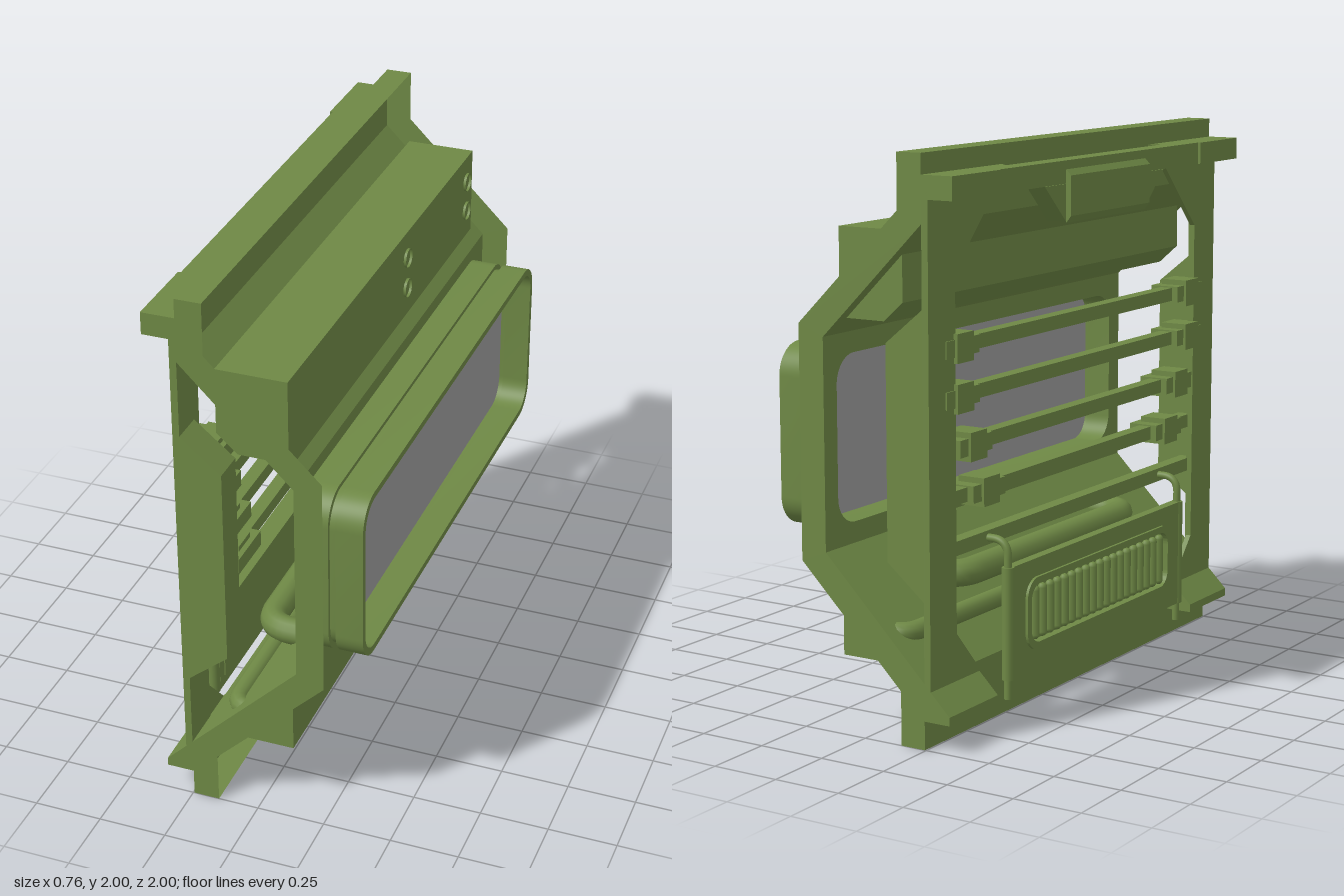
import * as THREE from 'three';
import { toCreasedNormals } from 'three/addons/utils/BufferGeometryUtils.js';

const green = new THREE.MeshStandardMaterial({ color: 0x6e8845 });
const greenSheet = new THREE.MeshStandardMaterial({ color: 0x6e8845, side: THREE.DoubleSide });
const grey = new THREE.MeshStandardMaterial({ color: 0x9c9c9c, side: THREE.DoubleSide });

export function createModel() {
  const root = new THREE.Group();
  root.name = 'wallPanel';

  const add = (name, geometry, material = green) => {
    const mesh = new THREE.Mesh(geometry, material);
    mesh.name = name;
    root.add(mesh);
  };
  const polygon = pts => new THREE.Shape(pts.map(p => new THREE.Vector2(p[0], p[1])));
  // box given by its limits
  const box = (name, x0, x1, y0, y1, z0, z1) => {
    const g = new THREE.BoxGeometry(x1 - x0, y1 - y0, Math.abs(z1 - z0));
    add(name, g.translate((x0 + x1) / 2, (y0 + y1) / 2, (z0 + z1) / 2));
  };
  // side profile (x, y) extruded along z
  const profile = (name, pts, z0, z1) => {
    const lo = Math.min(z0, z1), hi = Math.max(z0, z1);
    const g = new THREE.ExtrudeGeometry(polygon(pts), { depth: hi - lo, bevelEnabled: false });
    add(name, g.translate(0, 0, lo));
  };
  // face shape (-z, y) extruded along x
  const slab = (name, shape, x0, x1) => {
    const g = new THREE.ExtrudeGeometry(shape, { depth: x1 - x0, bevelEnabled: false, curveSegments: 8 });
    add(name, toCreasedNormals(g.rotateY(Math.PI / 2).translate(x0, 0, 0), 0.6));
  };
  // thin full-width sheet between two points of the side profile
  const sheet = (name, [x0, y0], [x1, y1]) => {
    const g = new THREE.PlaneGeometry(Math.hypot(x1 - x0, y1 - y0), 2).rotateX(Math.PI / 2);
    g.rotateZ(Math.atan2(y1 - y0, x1 - x0)).translate((x0 + x1) / 2, (y0 + y1) / 2, 0);
    add(name, g, greenSheet);
  };
  const rounded = (w, h, r, cy, Type = THREE.Shape) => {
    const s = new Type(), a = w - r, b = h - r;
    s.absarc(a, cy + b, r, 0, Math.PI / 2);
    s.absarc(-a, cy + b, r, Math.PI / 2, Math.PI);
    s.absarc(-a, cy - b, r, Math.PI, Math.PI * 1.5);
    s.absarc(a, cy - b, r, Math.PI * 1.5, Math.PI * 2);
    s.closePath();
    return s;
  };
  // pipe with rounded bends through corner points
  const pipe = (name, pts, radius, bend) => {
    const v = pts.map(p => new THREE.Vector3(...p));
    const path = new THREE.CurvePath();
    let last = v[0];
    for (let i = 1; i < v.length - 1; i++) {
      const a = v[i].clone().add(v[i - 1].clone().sub(v[i]).setLength(bend));
      const b = v[i].clone().add(v[i + 1].clone().sub(v[i]).setLength(bend));
      path.add(new THREE.LineCurve3(last, a));
      path.add(new THREE.QuadraticBezierCurve3(a, v[i], b));
      last = b;
    }
    path.add(new THREE.LineCurve3(last, v[v.length - 1]));
    add(name, new THREE.TubeGeometry(path, 80, radius, 12), greenSheet);
  };

  // Bent skin: lips, channel backs and slopes at top and bottom, open on the outside
  for (const top of [true, false]) {
    const y = v => (top ? 2 - v : v);
    const end = top ? 'upper' : 'lower';
    sheet(end + 'Lip', [-0.15, y(0)], [-0.245, y(0)]);
    sheet(end + 'ChannelBack', [-0.245, y(0)], [-0.245, y(0.23)]);
    sheet(end + 'Slope', [-0.245, y(0.23)], [0.155, y(0.63)]);
  }
  // Upright sheet with the window opening
  const wall = polygon([[-1, 0.63], [1, 0.63], [1, 1.37], [-1, 1.37]]);
  wall.holes.push(rounded(0.925, 0.295, 0.1, 1, THREE.Path));
  add('windowWall', new THREE.ShapeGeometry(wall, 8).rotateY(Math.PI / 2).translate(0.155, 0, 0), greenSheet);

  // Flat end fins that follow the bend
  const fin = polygon([
    [-0.245, 2], [-0.15, 2], [-0.15, 1.81], [0.255, 1.41], [0.255, 0.59], [-0.15, 0.19], [-0.15, 0],
    [-0.245, 0], [-0.245, 0.23], [0.155, 0.63], [0.155, 1.37], [-0.245, 1.77]]);
  for (const z of [-1, 1]) add('endFin', new THREE.ShapeGeometry(fin).translate(0, 0, z), greenSheet);

  // Window frame with a groove, and the pane
  for (const [x0, x1, w, h] of [[0.155, 0.255, 0.95, 0.32], [0.255, 0.28, 0.935, 0.305], [0.28, 0.378, 0.95, 0.32]]) {
    const ring = rounded(w, h, 0.11, 1);
    ring.holes.push(rounded(0.925, 0.295, 0.09, 1, THREE.Path));
    slab('windowFrame', ring, x0, x1);
  }
  add('windowPane', new THREE.ShapeGeometry(rounded(0.928, 0.298, 0.09, 1), 8)
    .rotateY(Math.PI / 2).translate(0.265, 0, 0), grey);

  // Long housings on the slopes
  profile('upperHousing', [[-0.135, 1.74], [-0.135, 1.5], [-0.06, 1.433], [0.1, 1.433], [0.12, 1.41], [0.12, 1.74]], -0.95, 0.95);
  profile('lowerHousing', [[-0.21, 0.265], [0.12, 0.265], [0.12, 0.595]], -0.95, 0.95);
  for (const z of [-0.88, -0.2]) for (const y of [1.52, 1.64]) {
    const g = new THREE.CylinderGeometry(0.035, 0.035, 0.015, 16, 1, true).rotateZ(Math.PI / 2);
    add('housingRing', g.translate(0.122, y, z), greenSheet);
  }

  // Rails, stepping inwards towards the bottom: height and clip position
  const rails = [[1.345, 0.8], [1.175, 0.8], [1.0, 0.72], [0.83, 0.64]];
  for (const [y] of rails) box('rail', -0.25, -0.2, y - 0.025, y + 0.025, -0.86, 0.86);
  box('lowerRail', -0.25, -0.2, 0.63, 0.68, -0.88, 0.88);

  // Inner side posts, brackets, gussets and rail clips
  for (const s of [-1, 1]) {
    box('sidePost', -0.27, -0.245, 0.15, 1.88, s * 0.84, s);
    profile('postBody', [[-0.245, 1.49], [-0.1, 1.37], [-0.1, 0.63], [-0.245, 0.51]], s * 0.88, s);
    box('topBracket', -0.365, -0.245, 1.85, 1.93, s * 0.7, s);
    profile('bottomBracket', [[-0.345, 0.1], [-0.245, 0.1], [-0.245, 0.23], [-0.345, 0.13]], s * 0.7, s);
    // flat gusset joining the top bar to the channel
    const flat = polygon([[-0.285, s * 0.55], [-0.285, s * 0.7], [-0.245, s * 0.7], [-0.245, s * 0.51]]);
    const g = new THREE.ExtrudeGeometry(flat, { depth: 0.08, bevelEnabled: false });
    add('topGusset', g.rotateX(Math.PI / 2).translate(0, 1.93, 0));
    // upright corner gussets
    for (const [a, b, z] of [[1.88, 1.6, 0.56], [0.15, 0.37, 0.64]]) {
      slab('cornerGusset', polygon([[-s * 0.84, a], [-s * 0.84, b], [-s * z, a]]), -0.27, -0.25);
    }
    for (const [y, z] of rails) {
      box('railClip', -0.285, -0.18, y - 0.05, y + 0.05, s * (z - 0.05), s * (z + 0.05));
      box('railClipNose', -0.275, -0.16, y - 0.03, y + 0.03, s * (z - 0.1), s * (z + 0.1));
    }
  }

  // Top bar with its hanging centre plate
  box('topBar', -0.355, -0.285, 1.85, 1.93, -0.7, 0.7);
  slab('hangingPlate', polygon([[-0.42, 1.85], [-0.28, 1.72], [0.28, 1.72], [0.42, 1.85]]), -0.36, -0.285);
  profile('centrePlate', [[-0.36, 1.715], [-0.38, 1.74], [-0.38, 1.88], [-0.36, 1.9]], -0.28, 0.28);

  // Heavy pipes that turn into the lower slope
  pipe('upperPipe', [[0.08, 0.5, -0.6], [-0.12, 0.5, -0.6], [-0.12, 0.5, 0.6], [0.08, 0.5, 0.6]], 0.05, 0.1);
  pipe('lowerPipe', [[0, 0.365, -0.92], [-0.12, 0.365, -0.92], [-0.12, 0.365, 0.92], [0, 0.365, 0.92]], 0.035, 0.08);

  // Louvred heater panel and its corner tubes
  const panel = polygon([[-0.6, 0.16], [0.6, 0.16], [0.6, 0.56], [-0.6, 0.56]]);
  panel.holes.push(rounded(0.5, 0.11, 0.06, 0.365, THREE.Path));
  slab('heaterPanel', panel, -0.345, -0.31);
  box('heaterBack', -0.315, -0.306, 0.2, 0.52, -0.56, 0.56);
  const rim = rounded(0.52, 0.13, 0.07, 0.365);
  rim.holes.push(rounded(0.495, 0.105, 0.055, 0.365, THREE.Path));
  slab('louvreRim', rim, -0.355, -0.335);
  for (let i = -9; i <= 9; i++) {
    add('louvre', new THREE.CapsuleGeometry(0.017, 0.16, 4, 8).translate(-0.34, 0.365, i * 0.05));
  }
  for (const s of [-1, 1]) {
    const z = s * 0.61;
    pipe('heaterTube', [[-0.33, 0.09, z], [-0.33, 0.655, z], [-0.245, 0.655, z]], 0.014, 0.06);
    add('tubeSleeve', new THREE.CylinderGeometry(0.022, 0.022, 0.4, 12).translate(-0.33, 0.36, z));
  }
  return root;
}
